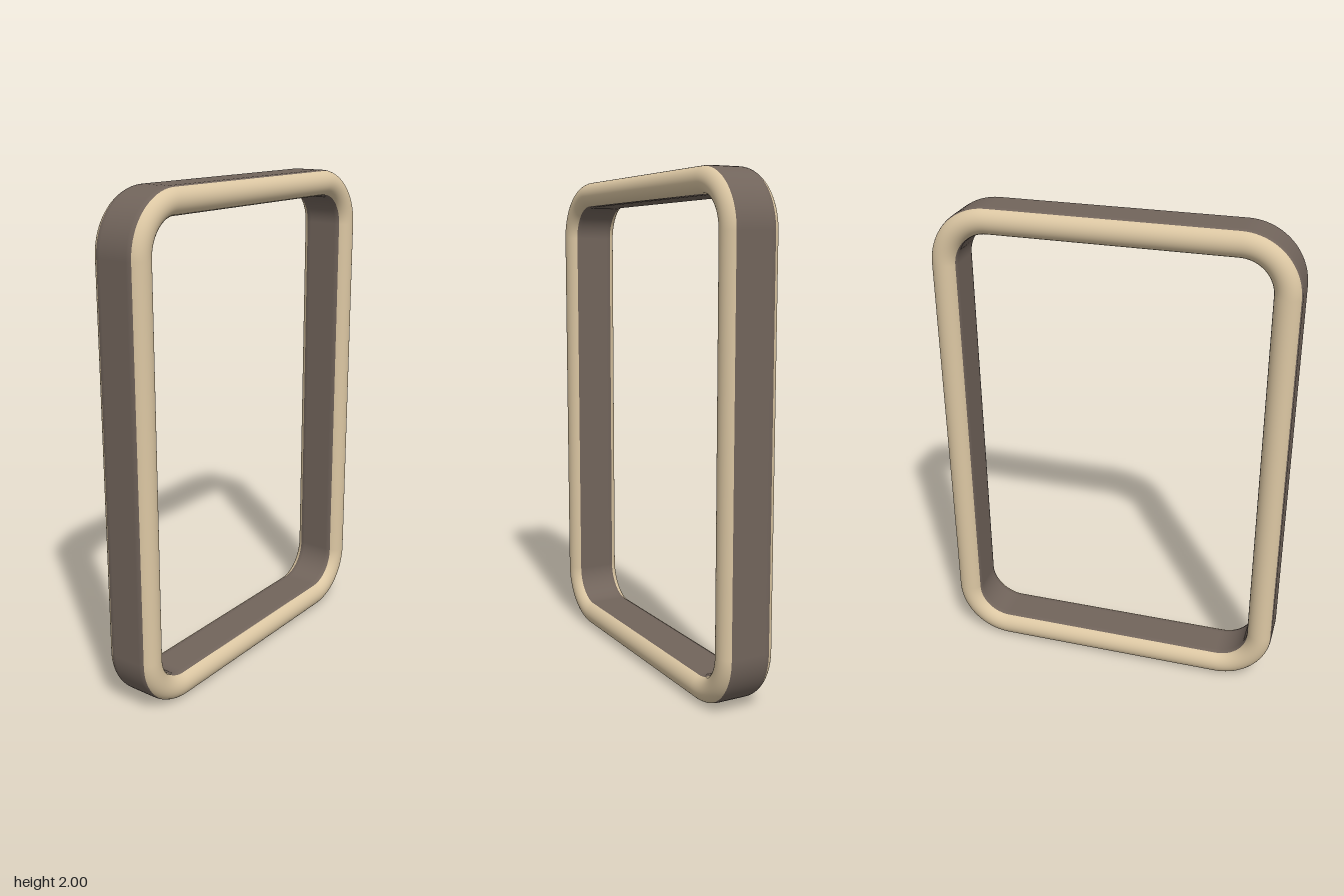
import * as THREE from 'three';

const HALF_X = 0.48, HALF_Y = 0.765;   // centres of the corner bends
const BEND = 0.1825;                   // bend radius along the middle of the rim
const R = 0.0525, FLAT = 0.0605;       // rounding of the section and half its flat depth
const CORNER_STEPS = 20;

// Closed rounded-rectangle path, counter-clockwise: position and outward normal
function framePath() {
  const path = [];
  [[1, 1], [-1, 1], [-1, -1], [1, -1]].forEach(([sx, sy], c) => {
    for (let i = 0; i <= CORNER_STEPS; i++) {
      const a = (c + i / CORNER_STEPS) * Math.PI / 2;
      const nx = Math.cos(a), ny = Math.sin(a);
      path.push({ x: sx * HALF_X + BEND * nx, y: 1 + sy * HALF_Y + BEND * ny, nx, ny });
    }
  });
  return path;
}

// Points of the stadium-shaped section between two angles (degrees)
function arc(from, to, steps, zCentre) {
  return Array.from({ length: steps + 1 }, (_, i) => {
    const a = THREE.MathUtils.degToRad(from + (to - from) * i / steps);
    return { c: Math.cos(a), s: Math.sin(a), z: zCentre + R * Math.sin(a) };
  });
}

// Sweep an open strip of the section around the closed path
function sweep(profile, path) {
  const position = [], normal = [], index = [];
  const m = profile.length, n = path.length;
  path.forEach((p, i) => {
    profile.forEach((q, j) => {
      position.push(p.x + p.nx * R * q.c, p.y + p.ny * R * q.c, q.z);
      normal.push(p.nx * q.c, p.ny * q.c, q.s);
      if (j === m - 1) return;
      const a = i * m + j, b = ((i + 1) % n) * m + j;
      index.push(a, b, b + 1, a, b + 1, a + 1);
    });
  });
  const g = new THREE.BufferGeometry();
  g.setAttribute('position', new THREE.Float32BufferAttribute(position, 3));
  g.setAttribute('normal', new THREE.Float32BufferAttribute(normal, 3));
  g.setIndex(index);
  return g;
}

export function createModel() {
  const group = new THREE.Group();
  group.name = 'frame';
  const tan = new THREE.MeshStandardMaterial({ color: 0xdcc7a3 });
  const brown = new THREE.MeshStandardMaterial({ color: 0x71645b });
  const path = framePath();

  const add = (name, profile, material) => {
    const mesh = new THREE.Mesh(sweep(profile, path), material);
    mesh.name = name;
    group.add(mesh);
  };

  // Rounded light rims on the front and back
  add('frontRim', arc(22.5, 157.5, 18, FLAT), tan);
  add('backRim', arc(202.5, 337.5, 18, -FLAT), tan);

  // Dark bands around the outside and the opening
  add('outerBand', [...arc(-22.5, 0, 3, -FLAT), ...arc(0, 22.5, 3, FLAT)], brown);
  add('innerBand', [...arc(157.5, 180, 3, FLAT), ...arc(180, 202.5, 3, -FLAT)], brown);

  return group;
}
